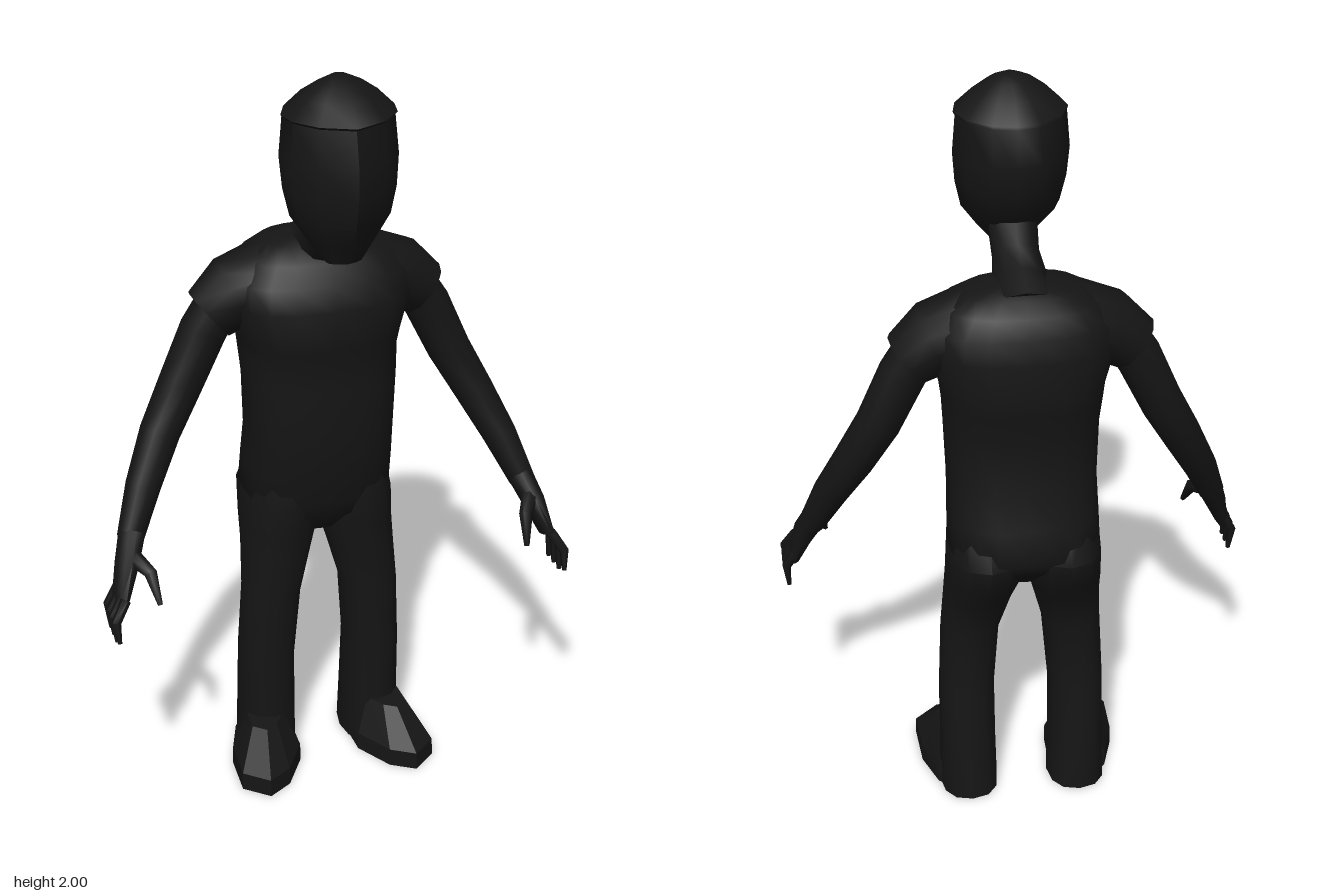
import * as THREE from 'three';
import { toCreasedNormals } from 'three/addons/utils/BufferGeometryUtils.js';

const material = new THREE.MeshStandardMaterial({ color: 0x151515 });
const V = (x, y, z) => new THREE.Vector3(x, y, z);

// Skins a stack of equal-length rings of points and caps both ends; side -1 mirrors it.
function skin(name, rings, side = 1, crease = 0.9) {
  const n = rings[0].length, pos = [], index = [];
  const add = (p) => pos.push(p.x * side, p.y, p.z);
  const face = (a, b, c) => (side > 0 ? index.push(a, b, c) : index.push(a, c, b));
  rings.forEach((ring) => ring.forEach(add));
  for (const ring of [rings[0], rings[rings.length - 1]]) {
    add(ring.reduce((s, p) => s.add(p), V(0, 0, 0)).divideScalar(n));
  }
  const last = (rings.length - 1) * n, cap = rings.length * n;
  for (let j = 0; j < n; j++) {
    const k = (j + 1) % n;
    for (let i = 0; i < last; i += n) {
      face(i + j, i + k, i + n + j);
      face(i + k, i + n + k, i + n + j);
    }
    face(cap, k, j);
    face(cap + 1, last + j, last + k);
  }
  const geometry = new THREE.BufferGeometry();
  geometry.setAttribute('position', new THREE.Float32BufferAttribute(pos, 3));
  geometry.setIndex(index);
  const mesh = new THREE.Mesh(toCreasedNormals(geometry, crease), material);
  mesh.name = name;
  return mesh;
}

// Horizontal rounded section; power below 1 makes it boxier.
function section(cx, y, cz, rx, rz, sides, power = 1) {
  const bend = (v) => Math.sign(v) * Math.abs(v) ** power;
  return Array.from({ length: sides }, (_, j) => {
    const t = (j / sides) * Math.PI * 2;
    return V(cx + rx * bend(Math.sin(t)), y, cz + rz * bend(Math.cos(t)));
  });
}

// Limb along a path of [x, y, z, radius, depth radius], sections square to the path.
function limb(name, path, side = 1, sides = 10) {
  const pts = path.map((p) => V(p[0], p[1], p[2]));
  const rings = path.map(([, , , r, rd = r], i) => {
    const t = pts[Math.min(i + 1, pts.length - 1)].clone().sub(pts[Math.max(i - 1, 0)]).normalize();
    const u = V().crossVectors(t, V(0, 0, 1)).normalize();
    const w = V().crossVectors(u, t);
    return Array.from({ length: sides }, (_, j) => {
      const a = (j / sides) * Math.PI * 2;
      return pts[i].clone().addScaledVector(u, Math.sin(a) * r).addScaledVector(w, Math.cos(a) * rd);
    });
  });
  return skin(name, rings, side, 1.1);
}

function makeHead() {
  // Half outline from face to nape: x factor, z factor
  const half = [[0, 1], [0.57, 0.76], [0.92, 0.38], [1, 0], [0.82, -0.52], [0.42, -0.88]];
  const outline = [...half, [0, -1], ...half.slice(1).reverse().map(([x, z]) => [-x, z])];
  // y, half width, front z, back z
  const rows = [
    [1.545, 0.045, 0.18, 0.13], [1.6, 0.085, 0.215, 0.06], [1.66, 0.125, 0.25, 0.0],
    [1.73, 0.14, 0.268, -0.03], [1.81, 0.146, 0.27, -0.046], [1.905, 0.138, 0.247, -0.026],
    [1.912, 0.142, 0.254, -0.022], [1.955, 0.098, 0.205, 0.02], [1.985, 0.055, 0.165, 0.065],
    [2.0, 0.02, 0.13, 0.09],
  ];
  return skin('head', rows.map(([y, w, zf, zb]) => {
    const mid = zb + (zf - zb) * 0.44;
    return outline.map(([x, z]) => V(x * w, y, mid + z * (z > 0 ? zf - mid : mid - zb)));
  }), 1, 0.75);
}

function makeTorso() {
  // y, half width, front z, back z
  const rows = [
    [0.7, 0.06, -0.02, -0.17], [0.76, 0.17, 0.03, -0.23], [0.81, 0.2, 0.045, -0.265],
    [0.9, 0.198, 0.065, -0.245], [1.0, 0.195, 0.08, -0.217], [1.15, 0.2, 0.083, -0.21],
    [1.23, 0.205, 0.08, -0.236], [1.27, 0.21, 0.093, -0.24], [1.38, 0.24, 0.095, -0.24],
    [1.44, 0.235, 0.073, -0.225], [1.49, 0.195, 0.04, -0.205], [1.525, 0.14, 0.0, -0.175],
    [1.54, 0.06, -0.03, -0.13],
  ];
  return skin('torso', rows.map(([y, w, zf, zb]) =>
    section(0, y, (zf + zb) / 2, w, (zf - zb) / 2, 20, 0.75)));
}

function makeLeg(side) {
  // centre x, y, centre z, half width, half depth
  const rows = [
    [0.15, 0, -0.088, 0.08, 0.102], [0.15, 0.14, -0.082, 0.077, 0.097],
    [0.15, 0.32, -0.072, 0.076, 0.086], [0.137, 0.52, -0.061, 0.08, 0.08],
    [0.118, 0.64, -0.082, 0.092, 0.105], [0.107, 0.71, -0.102, 0.1, 0.132],
    [0.103, 0.8, -0.112, 0.1, 0.158], [0.1, 0.9, -0.09, 0.08, 0.12],
  ];
  return skin('leg', rows.map((r) => section(...r, 12, 0.85)), side);
}

// Angular shoe pointing slightly outwards
function makeFoot(side) {
  const sole = [[0.08, -0.1], [0.085, 0.04], [0.145, 0.14], [0.21, 0.18], [0.275, 0.125],
    [0.27, 0], [0.235, -0.1], [0.16, -0.16]];
  const ring = (y, s) => sole.map(([x, z]) => V(0.165 + (x - 0.165) * s, y, -0.05 + (z + 0.05) * s));
  return skin('foot', [ring(0, 1), ring(0.05, 0.99), ring(0.14, 0.52)], side, 0.4);
}

function makeArm(side) {
  const arm = new THREE.Group();
  arm.name = side > 0 ? 'leftArm' : 'rightArm';
  arm.add(limb('sleeve', [[0.12, 1.425, -0.08, 0.1, 0.12], [0.22, 1.395, -0.08, 0.094, 0.098],
    [0.285, 1.342, -0.078, 0.077, 0.072]], side, 12));
  arm.add(limb('armSkin', [[0.25, 1.38, -0.08, 0.06], [0.3, 1.3, -0.08, 0.062, 0.056],
    [0.365, 1.16, -0.075, 0.058, 0.055], [0.43, 1.04, -0.05, 0.053], [0.49, 0.92, 0.0, 0.046],
    [0.54, 0.8, 0.05, 0.035]], side));
  arm.add(limb('palm', [[0.532, 0.82, 0.042, 0.035], [0.56, 0.75, 0.09, 0.03, 0.046],
    [0.587, 0.67, 0.125, 0.018, 0.052]], side));
  for (let i = 0; i < 4; i++) {
    arm.add(limb('finger', [[0.583, 0.69, 0.085 + 0.028 * i, 0.014],
      [0.614, 0.64, 0.09 + 0.033 * i, 0.013], [0.61, 0.573 + (i === 3 ? 0.015 : 0), 0.098 + 0.036 * i, 0.006]], side, 6));
  }
  arm.add(limb('thumb', [[0.55, 0.775, 0.09, 0.024], [0.512, 0.75, 0.155, 0.018],
    [0.5, 0.68, 0.2, 0.007]], side, 6));
  return arm;
}

export function createModel() {
  const model = new THREE.Group();
  model.name = 'figure';
  model.add(makeHead(), makeTorso());
  model.add(limb('neck', [[0, 1.47, -0.11, 0.1, 0.09], [0, 1.515, -0.05, 0.072, 0.07],
    [0, 1.56, 0.02, 0.06], [0, 1.65, 0.1, 0.065]]));
  for (const side of [1, -1]) {
    model.add(makeArm(side), makeLeg(side), makeFoot(side));
  }
  return model;
}
